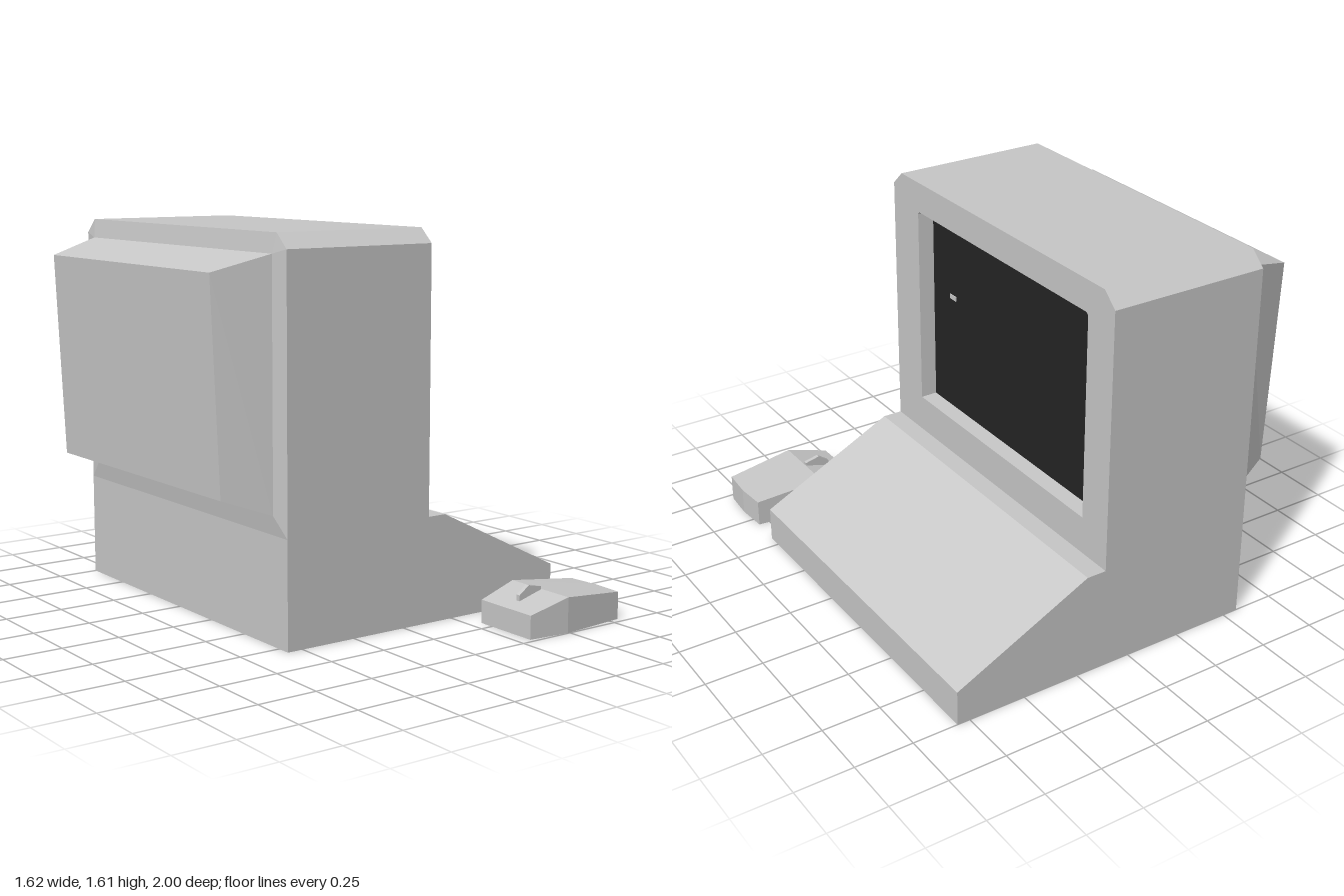
import * as THREE from 'three';

const BACK = -0.57, FRONT = 0.125;     // cabinet depth along x
const Z0 = 0.56, Z1 = -1;              // cabinet sides
const TOP = 1.61, SHOULDER = 1.55, DECK = 0.445;

// Skin a list of point loops; neighbouring loops are joined by flat quads.
function loft(loops, { closed = false, cap = false } = {}) {
  const pos = [];
  const tri = (a, b, c) => pos.push(...a, ...b, ...c);
  for (let k = 0; k + 1 < loops.length; k++) {
    const a = loops[k], b = loops[k + 1], n = a.length;
    for (let i = 0; i < (closed ? n : n - 1); i++) {
      const j = (i + 1) % n;
      tri(a[i], a[j], b[j]);
      tri(a[i], b[j], b[i]);
    }
  }
  if (cap) {
    const e = loops[loops.length - 1];
    for (let i = 1; i + 1 < e.length; i++) tri(e[0], e[i], e[i + 1]);
  }
  const g = new THREE.BufferGeometry();
  g.setAttribute('position', new THREE.Float32BufferAttribute(pos, 3));
  g.computeVertexNormals();
  return g;
}

const shapeOf = (pts) => new THREE.Shape(pts.map(([x, y]) => new THREE.Vector2(x, y)));
// Place a list of [z, y] points at one x.
const atX = (x, pts) => pts.map(([z, y]) => [x, y, z]);

export function createModel() {
  const model = new THREE.Group();
  const shell = new THREE.MeshStandardMaterial({ color: 0xc8c8c8, side: THREE.DoubleSide });
  shell.name = 'shellGrey';
  const glass = new THREE.MeshStandardMaterial({ color: 0x242424, side: THREE.DoubleSide });
  glass.name = 'screenBlack';

  const add = (parent, name, geometry, material = shell) => {
    const m = new THREE.Mesh(geometry, material);
    m.name = name;
    parent.add(m);
    return m;
  };

  const computer = new THREE.Group();
  computer.name = 'computer';
  model.add(computer);

  // Side walls share one L-shaped outline
  const deck = [[FRONT, DECK], [0.21, DECK], [0.805, 0.15], [0.805, 0]];
  const side = shapeOf([[BACK, 0], ...[...deck].reverse(), [FRONT, SHOULDER], [BACK, SHOULDER]]);
  for (const [name, z] of [['leftWall', Z0], ['rightWall', Z1]]) {
    add(computer, name, new THREE.ShapeGeometry(side).translate(0, 0, z));
  }

  // Sloping keyboard deck and its front lip
  add(computer, 'keyboardDeck', loft([Z0, Z1].map((z) => deck.map(([x, y]) => [x, y, z]))));

  // Top with bevelled shoulders
  const roof = [[Z0, SHOULDER], [0.495, TOP], [-0.935, TOP], [Z1, SHOULDER]];
  add(computer, 'roof', loft([atX(FRONT, roof), atX(BACK, roof)]));

  // Front bezel with the screen opening
  const outline = [[Z0, DECK], ...roof, [Z1, DECK]];
  const opening = [[-0.84, 0.605], [-0.84, 1.47], [-0.83, 1.48], [0.355, 1.48], [0.365, 1.47], [0.365, 0.605]];
  const flip = (pts) => pts.map(([z, y]) => [-z, y]);
  const bezel = shapeOf(flip(outline));
  bezel.holes.push(shapeOf(flip(opening)));
  add(computer, 'bezel', new THREE.ShapeGeometry(bezel).rotateY(Math.PI / 2).translate(FRONT, 0, 0));

  // Recess and screen
  const depth = 0.055;
  const inner = opening.map(([z, y]) => [-0.2375 + (z + 0.2375) * 0.992, 1.0425 + (y - 1.0425) * 0.992]);
  add(computer, 'screenRecess', loft([atX(FRONT, opening), atX(depth, inner)], { closed: true }));
  add(computer, 'screen',
    new THREE.ShapeGeometry(shapeOf(flip(inner))).rotateY(Math.PI / 2).translate(depth, 0, 0), glass);
  add(computer, 'cursor', new THREE.BoxGeometry(0.004, 0.02, 0.045)).position.set(depth + 0.002, 1.13, 0.203);

  // Back: lower panel, shallow skirt and tapered tube housing
  add(computer, 'backPanel', loft([
    [[BACK, 0, Z0], [BACK, DECK, Z0]],
    [[BACK, 0, Z1], [BACK, DECK, Z1]],
  ]));
  const rim = [[0.48, 0.525], [0.48, 1.53], [0.48, 1.53], [-0.92, 1.53], [-0.92, 1.53], [-0.92, 0.525]];
  add(computer, 'backSkirt', loft([atX(BACK, outline), atX(-0.582, rim)], { closed: true }));
  const rimCorners = [rim[0], rim[1], rim[3], rim[5]];
  add(computer, 'tubeHousing', loft([
    atX(-0.582, rimCorners),
    [[-0.775, 0.595, 0.41], [-0.815, 1.465, 0.41], [-0.815, 1.465, -0.855], [-0.775, 0.595, -0.855]],
  ], { closed: true, cap: true }));

  // Mouse: hollow shell made from arches along x
  const mouse = new THREE.Group();
  mouse.name = 'mouse';
  model.add(mouse);
  const zc = 0.832;
  const arch = (x, h, w, bow = 0) => [
    [x, 0, zc + w], [x, h, zc + w], [x + bow, h, zc], [x, h, zc - w], [x, 0, zc - w],
  ];
  const tail = arch(0.305, 0.098, 0.147), nose = arch(0.8, 0.116, 0.137, 0.01);
  add(mouse, 'mouseShell', loft([nose, arch(0.49, 0.148, 0.166), tail]));
  const floor = (pts) => pts.map(([x, , z]) => [x, 0, z]);
  add(mouse, 'mouseFront', loft([floor(nose).slice(1, 4), nose.slice(1, 4)]));
  add(mouse, 'mouseBack', loft([tail.slice(1, 4), floor(tail).slice(1, 4)]));

  // Thin fin on the mouse
  const fin = shapeOf([[0.37, 0.112], [0.485, 0.142], [0.487, 0.16], [0.42, 0.175], [0.37, 0.14]]);
  add(mouse, 'mouseFin',
    new THREE.ExtrudeGeometry(fin, { depth: 0.018, bevelEnabled: false }).translate(0, 0, zc - 0.009));

  return model;
}
